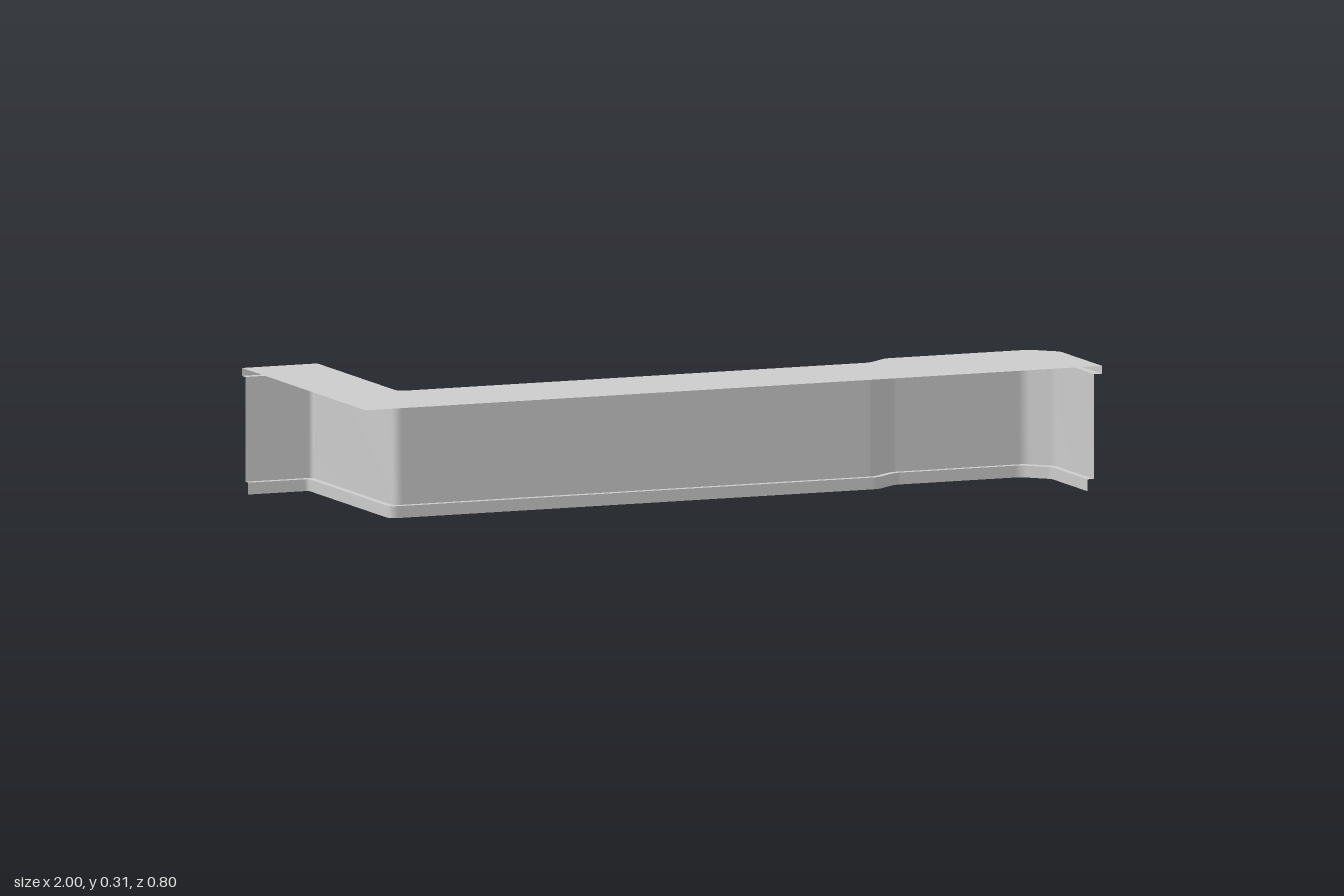
import * as THREE from 'three';

// Corners of the counter's outer edge: x, z, inset direction x, inset direction z, corner radius
const CORNERS = [
  [1, 0.4, -1, 0, 0],
  [1, 0.13, -1, 1, 0.012],
  [0.94, 0.07, -1, 1, 0.015],
  [0.55, 0.07, 0.2, 1, 0.015],
  [0.485, 0.122, 0.2, 1, 0.015],
  [-0.795, 0.122, -1, 1, 0.025],
  [-0.795, -0.4, -1, 1, 0.012],
  [-1, -0.4, 0, 1, 0],
];

const TOP = 0.315;

// Edge path in plan (x, z), moved inward by d, with small rounded corners
function edgePath(d) {
  const pts = CORNERS.map(([x, z, ix, iz]) => new THREE.Vector2(x + ix * d, z + iz * d));
  const out = [];
  pts.forEach((p, i) => {
    const r = CORNERS[i][4];
    if (r === 0) return out.push(p);
    const toward = (q) => p.clone().add(q.clone().sub(p).setLength(r));
    const curve = new THREE.QuadraticBezierCurve(toward(pts[i - 1]), p, toward(pts[i + 1]));
    out.push(...curve.getPoints(4));
  });
  return out;
}

// Strip between two levels, each given as [inset, height]
function band(name, [d0, y0], [d1, y1], material) {
  const a = edgePath(d0);
  const b = edgePath(d1);
  const positions = [];
  const index = [];
  a.forEach((p, i) => {
    positions.push(p.x, y0, p.y, b[i].x, y1, b[i].y);
    if (i === a.length - 1) return;
    const k = i * 2;
    index.push(k, k + 1, k + 2, k + 2, k + 1, k + 3);
  });
  const geometry = new THREE.BufferGeometry();
  geometry.setAttribute('position', new THREE.Float32BufferAttribute(positions, 3));
  geometry.setIndex(index);
  geometry.computeVertexNormals();
  const mesh = new THREE.Mesh(geometry, material);
  mesh.name = name;
  return mesh;
}

export function createModel() {
  const group = new THREE.Group();
  group.name = 'cornerCounter';
  const material = new THREE.MeshStandardMaterial({ color: 0xcccccc, side: THREE.DoubleSide });

  // Flat worktop, closed along the two straight wall sides
  const outline = edgePath(0).map((p) => new THREE.Vector2(p.x, -p.y));
  outline.push(new THREE.Vector2(-1, -0.4));
  const worktop = new THREE.Mesh(new THREE.ShapeGeometry(new THREE.Shape(outline)), material);
  worktop.geometry.rotateX(-Math.PI / 2);
  worktop.position.y = TOP;
  worktop.name = 'worktop';
  group.add(worktop);

  // Stepped face below it, from the worktop edge down to the floor
  const levels = [[0, TOP], [0, 0.295], [0.022, 0.295], [0.022, 0.03], [0.04, 0.03], [0.04, 0]];
  const names = ['worktopEdge', 'overhang', 'frontPanel', 'toeKickLedge', 'toeKick'];
  names.forEach((name, i) => group.add(band(name, levels[i], levels[i + 1], material)));

  return group;
}
